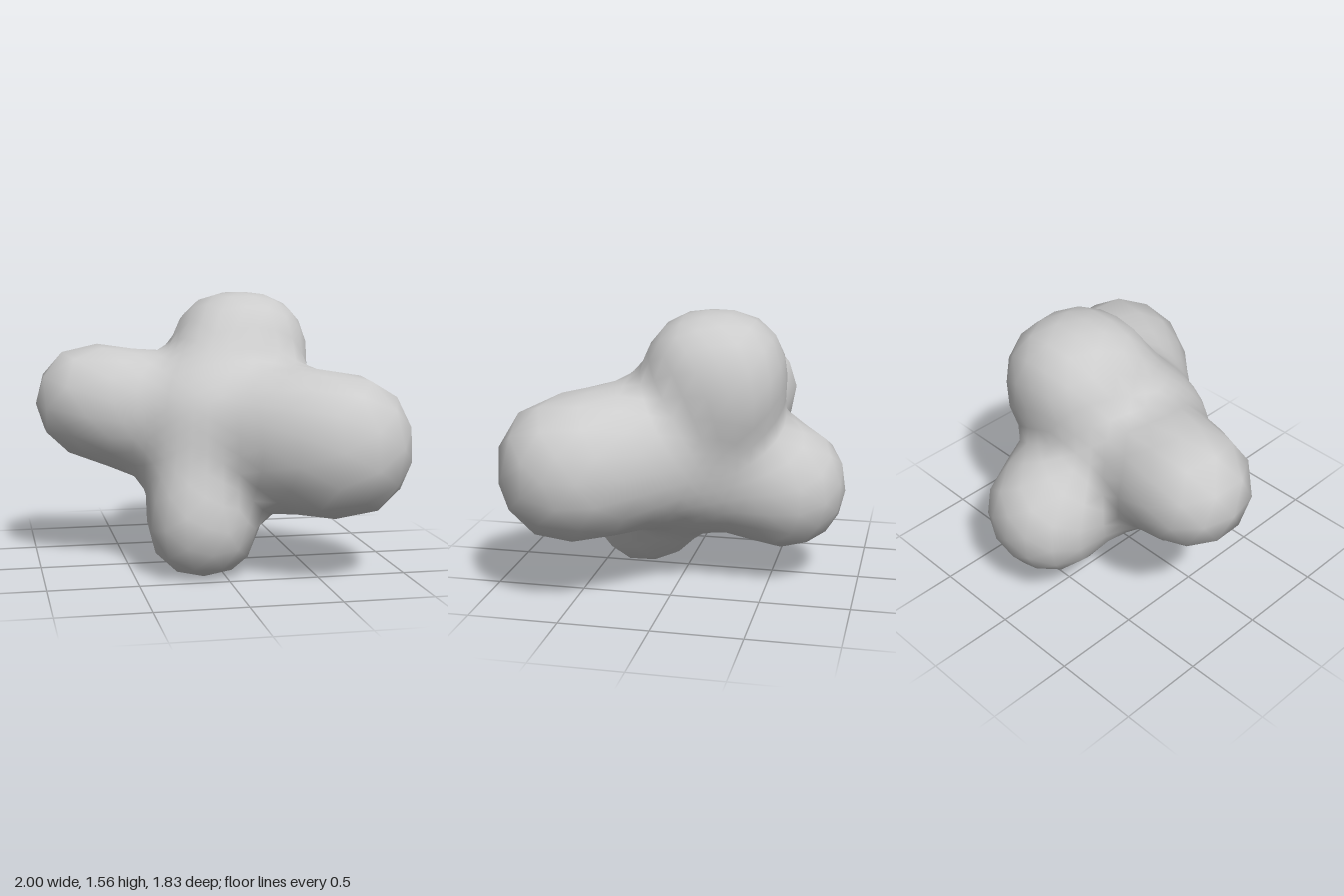
import * as THREE from 'three';
import { mergeVertices } from 'three/addons/utils/BufferGeometryUtils.js';

const core = new THREE.Vector3(0.04, 0.77, -0.03);
const BLEND = 0.1;

// Lobes growing out of the core: tip centre, root and tip radius, squareness (2 = round)
const lobes = [
  { tip: new THREE.Vector3(-0.67, 0.94, -0.21), root: 0.41, radius: 0.33, power: 2.1 }, // right arm
  { tip: new THREE.Vector3(0.6, 0.75, 0.52), root: 0.43, radius: 0.4, power: 2.2 },     // left front arm
  { tip: new THREE.Vector3(0.19, 1.17, -0.19), root: 0.47, radius: 0.395, power: 2.4 }, // top
  { tip: new THREE.Vector3(0.06, 0.56, -0.56), root: 0.41, radius: 0.355, power: 2.1 }, // back
  { tip: new THREE.Vector3(-0.11, 0.31, 0.27), root: 0.42, radius: 0.31, power: 2.3 },  // foot
];

// Distance to one tapered, slightly squared capsule from the core to a lobe tip
function lobeDistance(p, { tip, root, radius, power }) {
  const axis = tip.clone().sub(core);
  const t = THREE.MathUtils.clamp(p.clone().sub(core).dot(axis) / axis.lengthSq(), 0, 1);
  const d = core.clone().addScaledVector(axis, t).sub(p);
  const sum = Math.abs(d.x) ** power + Math.abs(d.y) ** power + Math.abs(d.z) ** power;
  return sum ** (1 / power) - THREE.MathUtils.lerp(root, radius, t);
}

// Softly blended union of all lobes
function bodyDistance(p) {
  return lobes.reduce((a, lobe) => {
    const b = lobeDistance(p, lobe);
    const h = Math.max(BLEND - Math.abs(a - b), 0) / BLEND;
    return Math.min(a, b) - h * h * BLEND * 0.25;
  }, 10);
}

// Outermost surface point along a direction from the core
function surfacePoint(dir) {
  const at = (r) => core.clone().addScaledVector(dir, r);
  let outer = 1.5;
  while (outer > 0.1 && bodyDistance(at(outer - 0.03)) > 0) outer -= 0.03;
  let inner = outer - 0.03;
  for (let i = 0; i < 8; i++) {
    const mid = (inner + outer) / 2;
    if (bodyDistance(at(mid)) > 0) outer = mid;
    else inner = mid;
  }
  return at(inner);
}

export function createModel() {
  const group = new THREE.Group();
  group.name = 'lobedBlob';
  const grey = new THREE.MeshStandardMaterial({ color: 0xcccccc });
  grey.name = 'light grey';

  // Low-poly sphere pushed out to the blended lobes
  let geometry = new THREE.IcosahedronGeometry(1, 6);
  geometry.deleteAttribute('uv');
  geometry.deleteAttribute('normal');
  geometry = mergeVertices(geometry, 1e-4);
  const pos = geometry.attributes.position;
  const dir = new THREE.Vector3();
  for (let i = 0; i < pos.count; i++) {
    const p = surfacePoint(dir.fromBufferAttribute(pos, i).normalize());
    pos.setXYZ(i, p.x, p.y, p.z);
  }

  // Centre the body and stand it on the ground
  geometry.computeBoundingBox();
  const box = geometry.boundingBox;
  const mid = box.getCenter(new THREE.Vector3());
  geometry.translate(-mid.x, -box.min.y, -mid.z);
  geometry.computeVertexNormals();

  const body = new THREE.Mesh(geometry, grey);
  body.name = 'body';
  group.add(body);
  return group;
}
